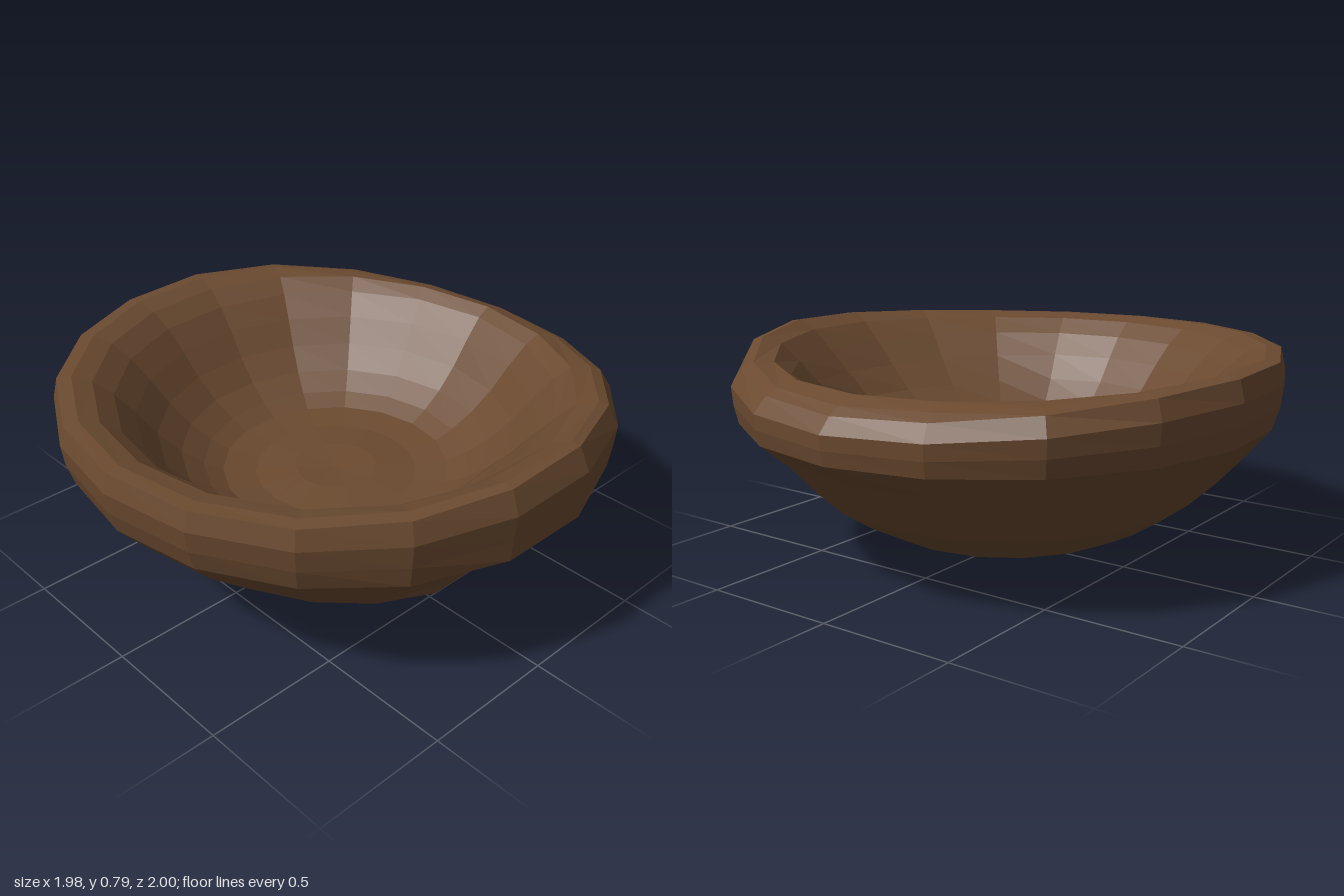
import * as THREE from 'three';

const SIDES = 18;

// Closed section [radius, height], from the underside, over the rim, to the inner floor
const SECTION = [
  [0, 0], [0.2, 0.016], [0.33, 0.046], [0.46, 0.092], [0.575, 0.15], [0.69, 0.225],
  [0.79, 0.32], [0.88, 0.42], [0.965, 0.52], [0.99, 0.6], [1.0, 0.68], [0.982, 0.755],
  [0.93, 0.76], [0.86, 0.735], [0.79, 0.68], [0.72, 0.6], [0.65, 0.51], [0.57, 0.43],
  [0.49, 0.375], [0.42, 0.34], [0.3, 0.325], [0.15, 0.335], [0, 0.325],
];

// Local changes: where they centre, how far they reach, and [radius, height] shifts by ring
const CHANGES = [
  // dented outer wall
  { at: 1.6, width: 1.1, shift: { 2: [0.01, 0], 3: [0.055, 0], 4: [0.06, 0], 5: [-0.015, 0], 6: [-0.04, 0], 7: [-0.02, 0], 8: [0.02, 0] } },
  // raised rim above the dent
  { at: 1.75, width: 1.1, shift: { 10: [0, 0.02], 11: [-0.02, 0.03], 12: [0, 0.03], 13: [0, 0.02] } },
  // inner wall pushed in, overhanging the floor
  { at: 1.15, width: 1.1, shift: { 14: [-0.01, 0], 15: [-0.035, -0.01], 16: [-0.075, -0.01], 17: [-0.1, 0], 18: [0, 0.01] } },
  // low, rounded back rim
  { at: Math.PI, width: 1.5, shift: { 8: [0.022, -0.012], 9: [0.008, -0.04], 10: [0, -0.07], 11: [-0.03, -0.095], 12: [-0.02, -0.075], 13: [-0.02, -0.025] } },
  // slightly tucked front wall and rim
  { at: 0.3, width: 1.1, shift: { 4: [-0.02, 0], 5: [-0.025, 0], 6: [-0.02, 0], 11: [0, -0.008], 12: [0, -0.01] } },
];

// Soft bump around a direction; 1 at the centre, 0 beyond the width
function bump(angle, centre, width) {
  const d = Math.abs(Math.atan2(Math.sin(angle - centre), Math.cos(angle - centre)));
  return d < width ? 0.5 + 0.5 * Math.cos(Math.PI * d / width) : 0;
}

// Hand-carved irregularity, applied ring by ring
function carve(geometry) {
  const pos = geometry.attributes.position;
  const n = SECTION.length;
  for (let i = 0; i < pos.count; i++) {
    const ring = i % n;
    const a = (Math.floor(i / n) % SIDES) * 2 * Math.PI / SIDES;
    let [r, y] = SECTION[ring];
    for (const { at, width, shift } of CHANGES) {
      const [dr, dy] = shift[ring] ?? [0, 0];
      const weight = bump(a, at, width);
      r += dr * weight;
      y += dy * weight;
    }
    // facets drift a little towards the front on the right-hand side
    const turn = a + 0.05 * bump(a, 1.5 * Math.PI, 2.2);
    pos.setXYZ(i, r * Math.sin(turn), y, r * Math.cos(turn));
  }
  geometry.computeVertexNormals();
  return geometry;
}

export function createModel() {
  const group = new THREE.Group();
  group.name = 'carvedBowl';
  const points = SECTION.map(([r, y]) => new THREE.Vector2(r, y));
  const bowl = new THREE.Mesh(
    carve(new THREE.LatheGeometry(points, SIDES)),
    new THREE.MeshStandardMaterial({ color: 0x6b4a30, flatShading: true })
  );
  bowl.name = 'bowl';
  group.add(bowl);
  return group;
}
